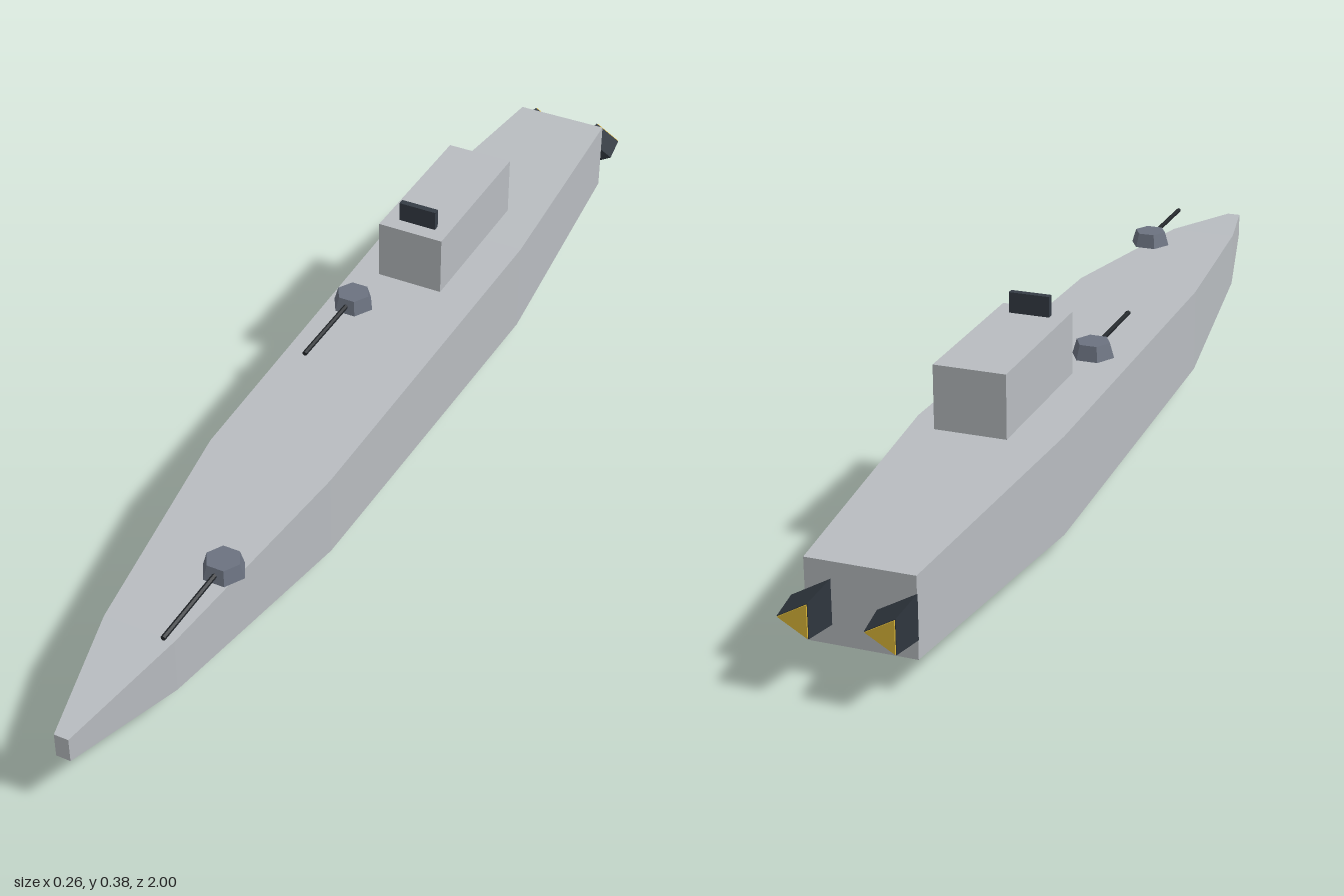
import * as THREE from 'three';

const paint = (name, color) => {
  const m = new THREE.MeshStandardMaterial({ color, flatShading: true });
  m.name = name;
  return m;
};

export function createModel() {
  const hullGrey = paint('hull grey', 0xb8bcc0);
  const turretGrey = paint('turret grey', 0x6b7280);
  const gunDark = paint('gun dark', 0x22262a);
  const panelDark = paint('panel dark', 0x353c45);
  const engineDark = paint('engine dark', 0x2f363e);
  const glowYellow = paint('glow yellow', 0xdcb838);

  const model = new THREE.Group();
  model.name = 'warship';

  const add = (parent, name, geometry, material, x = 0, y = 0, z = 0) => {
    const mesh = new THREE.Mesh(geometry, material);
    mesh.name = name;
    mesh.position.set(x, y, z);
    parent.add(mesh);
    return mesh;
  };

  // Hull lofted through rectangles: z, half width, bottom, top
  const sections = [
    [1, 0.013, 0.101, 0.147],
    [0.77, 0.065, 0.071, 0.177],
    [0.34, 0.117, 0.045, 0.204],
    [-0.42, 0.13, 0.035, 0.213],
    [-0.93, 0.091, 0.057, 0.195],
  ].map(([z, w, b, t]) => [[w, b, z], [w, t, z], [-w, t, z], [-w, b, z]]);
  const points = [];
  const quad = (a, b, c, d) => points.push(...a, ...b, ...c, ...a, ...c, ...d);
  for (let s = 0; s < sections.length - 1; s++) {
    const front = sections[s], back = sections[s + 1];
    for (let i = 0; i < 4; i++) {
      const j = (i + 1) % 4;
      quad(front[i], back[i], back[j], front[j]);
    }
  }
  quad(...sections[0]);
  quad(...[...sections[sections.length - 1]].reverse());
  const hull = new THREE.BufferGeometry();
  hull.setAttribute('position', new THREE.Float32BufferAttribute(points, 3));
  hull.computeVertexNormals();
  add(model, 'hull', hull, hullGrey);

  // Bridge block and the dark panel on its roof
  add(model, 'bridge', new THREE.BoxGeometry(0.127, 0.113, 0.306), hullGrey, 0, 0.2885, -0.353);
  add(model, 'bridgePanel', new THREE.BoxGeometry(0.073, 0.037, 0.012), panelDark, 0, 0.3635, -0.235);

  const rod = (length, radius) =>
    new THREE.CylinderGeometry(radius, radius, length, 6).rotateX(Math.PI / 2);

  // Deck turrets, each with a forward barrel
  for (const [name, x, y, z] of [['frontTurret', 0.064, 0.21, 0.61], ['midTurret', -0.065, 0.2415, -0.098]]) {
    const turret = new THREE.Group();
    turret.name = name;
    turret.position.set(x, y, z);
    model.add(turret);
    add(turret, 'turretBase', new THREE.CylinderGeometry(0.031, 0.039, 0.027, 6).rotateY(Math.PI / 6), turretGrey);
    add(turret, 'barrel', rod(0.19, 0.0045), gunDark, 0, 0, 0.095);
  }

  // Thin guns slung under the hull
  add(model, 'frontBellyGun', rod(0.17, 0.0045), gunDark, 0.064, 0.0045, 0.365);
  add(model, 'rearBellyGun', rod(0.17, 0.0045), gunDark, -0.065, 0.0045, -0.345);

  // Three-sided engine nozzles with glowing ends
  const triangle = (end, base, length) =>
    new THREE.CylinderGeometry(end, base, length, 3, 1, false, Math.PI / 2).rotateX(-Math.PI / 2);
  for (const side of [1, -1]) {
    const engine = new THREE.Group();
    engine.name = side > 0 ? 'leftEngine' : 'rightEngine';
    engine.position.set(side * 0.07, 0.128, 0);
    model.add(engine);
    add(engine, 'nozzle', triangle(0.034, 0.044, 0.067), engineDark, 0, 0, -0.9635);
    add(engine, 'engineGlow', triangle(0.032, 0.032, 0.003), glowYellow, 0, 0, -0.9985);
  }
  return model;
}
